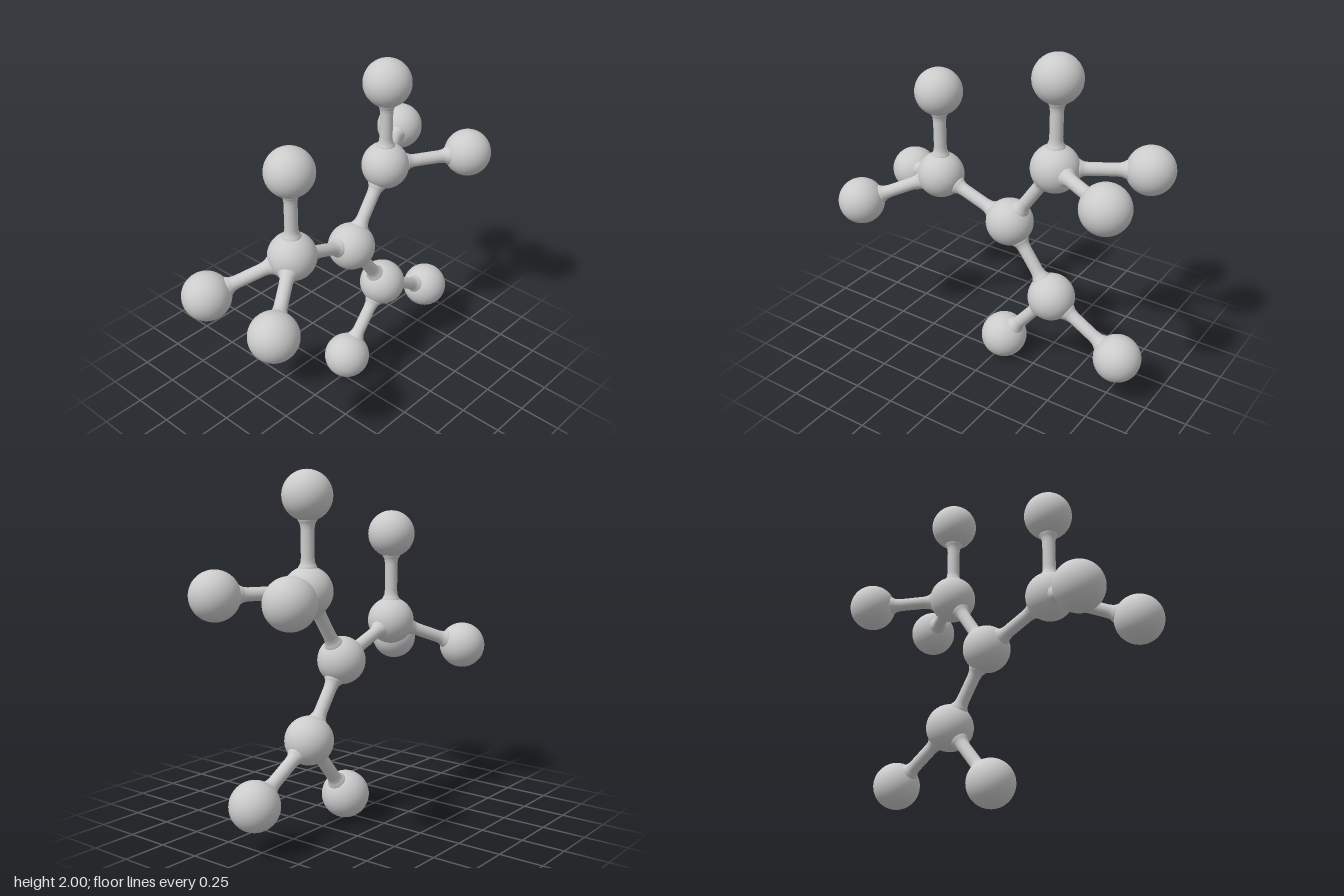
import * as THREE from 'three';

const BALL_RADIUS = 0.137;
const ROD_RADIUS = 0.037;
const material = new THREE.MeshStandardMaterial({ color: 0xcccccc, side: THREE.DoubleSide });

// Ball positions, all mirrored about x = 0
const balls = {
  centre: [0, 0.937, -0.075],
  frontHub: [0, 1.108, 0.403],
  frontTop: [0, 1.624, 0.403],
  frontLeft: [0.258, 0.93, 0.803],
  frontRight: [-0.258, 0.93, 0.803],
  upperHub: [0, 1.354, -0.362],
  upperTop: [0, 1.863, -0.362],
  upperLeft: [0.258, 1.354, -0.802],
  upperRight: [-0.258, 1.354, -0.802],
  lowerHub: [0, 0.53, -0.362],
  lowerFront: [0, 0.14, -0.04],
  lowerBack: [0, 0.274, -0.802],
};

const rods = [
  ['centre', 'frontHub'], ['centre', 'upperHub'], ['centre', 'lowerHub'],
  ['frontHub', 'frontTop'], ['frontHub', 'frontLeft'], ['frontHub', 'frontRight'],
  ['upperHub', 'upperTop'], ['upperHub', 'upperLeft'], ['upperHub', 'upperRight'],
  ['lowerHub', 'lowerFront'], ['lowerHub', 'lowerBack'],
];

// Half of the rod's profile: [radius, distance from the ball's centre]
const flare = [[0.053, 0.118], [0.053, 0.13], [0.046, 0.14], [0.04, 0.155], [ROD_RADIUS, 0.18]];

// Round rod between two points, flaring where it meets each ball
function makeRod(from, to) {
  const axis = to.clone().sub(from);
  const length = axis.length();
  const profile = [
    ...flare.map(([r, d]) => new THREE.Vector2(r, d)),
    ...flare.map(([r, d]) => new THREE.Vector2(r, length - d)).reverse(),
  ];
  const rod = new THREE.Mesh(new THREE.LatheGeometry(profile, 32), material);
  rod.position.copy(from);
  rod.quaternion.setFromUnitVectors(new THREE.Vector3(0, 1, 0), axis.normalize());
  return rod;
}

export function createModel() {
  const model = new THREE.Group();
  model.name = 'ballAndStickModel';

  const ballGeometry = new THREE.SphereGeometry(BALL_RADIUS, 48, 32);
  for (const [name, position] of Object.entries(balls)) {
    const ball = new THREE.Mesh(ballGeometry, material);
    ball.name = `${name}Ball`;
    ball.position.set(...position);
    model.add(ball);
  }

  for (const [a, b] of rods) {
    const rod = makeRod(new THREE.Vector3(...balls[a]), new THREE.Vector3(...balls[b]));
    rod.name = `${a}To${b[0].toUpperCase()}${b.slice(1)}Rod`;
    model.add(rod);
  }

  return model;
}
